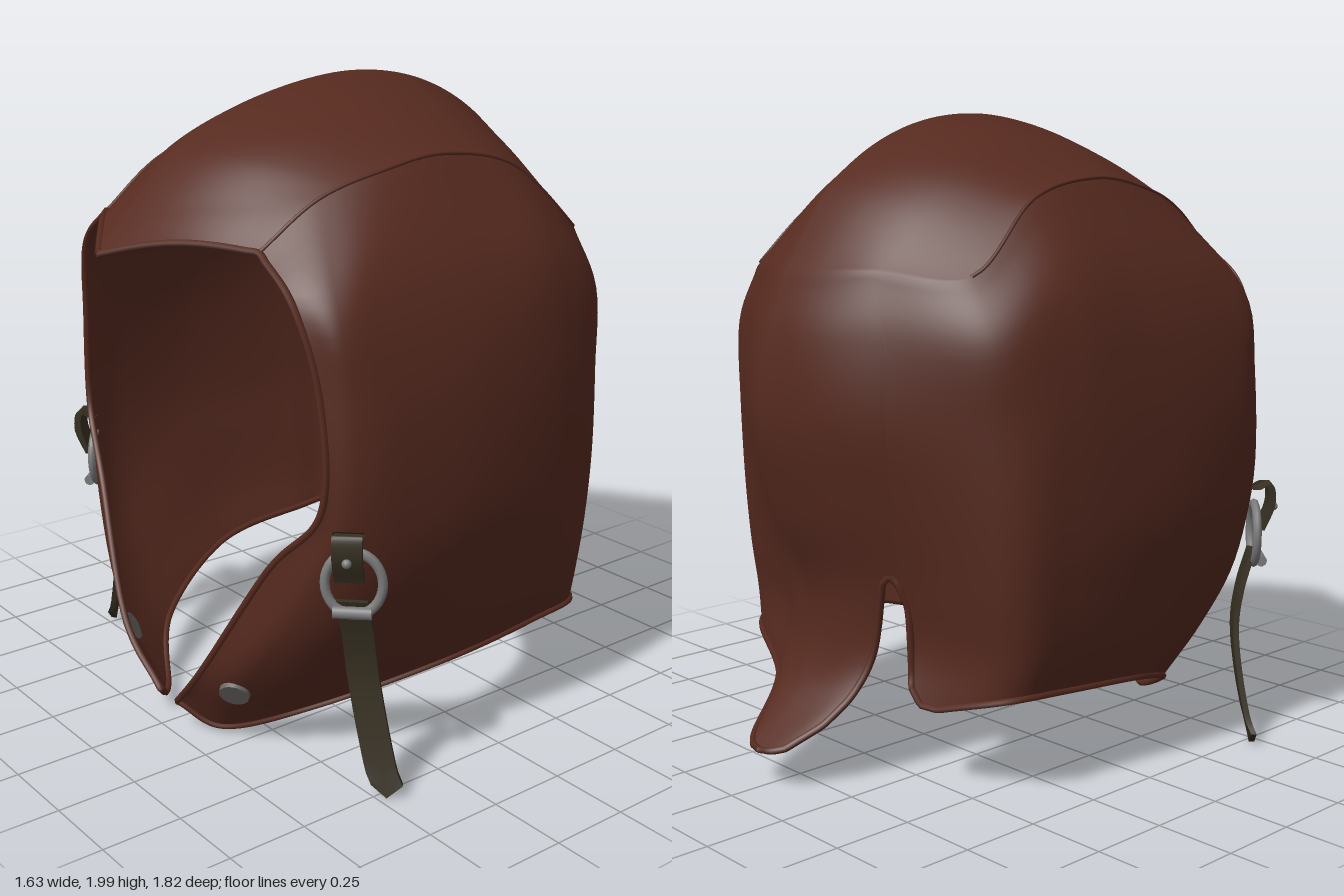
import * as THREE from 'three';
import { mergeGeometries, mergeVertices } from 'three/addons/utils/BufferGeometryUtils.js';

const curve = (pts) => new THREE.CatmullRomCurve3(pts.map((p) => (p.isVector3 ? p : new THREE.Vector3(...p))), false, 'catmullrom');

// Guide curves of one half, each from the bottom edge up to the crown seam
const faceEdge = curve([[.05, .10, .72], [.23, .29, .735], [.47, .67, .66], [.64, .88, .60], [.635, 1.2, .60], [.56, 1.45, .63], [.41, 1.575, .635]]);
const cheek = curve([[.17, .03, .62], [.38, .30, .66], [.58, .58, .61], [.70, .85, .54], [.70, 1.2, .53], [.64, 1.45, .54], [.435, 1.705, .45]]);
const jaw = curve([[.42, .15, .45], [.55, .35, .47], [.68, .58, .44], [.745, .85, .39], [.735, 1.2, .39], [.65, 1.5, .37], [.47, 1.77, .25]]);
const ear = curve([[.61, .27, .10], [.68, .42, .10], [.73, .62, .10], [.765, .85, .10], [.75, 1.2, .07], [.67, 1.5, .02], [.48, 1.80, .02]]);
const behindEar = curve([[.63, .31, -.25], [.67, .44, -.26], [.70, .62, -.27], [.72, .85, -.28], [.715, 1.2, -.28], [.66, 1.5, -.27], [.49, 1.74, -.25]]);
const corner = curve([[.59, .315, -.46], [.61, .44, -.46], [.62, .62, -.48], [.63, .85, -.49], [.62, 1.1, -.50], [.60, 1.35, -.51], [.50, 1.53, -.50]]);
const nape = curve([[.28, .23, -.62], [.29, .42, -.57], [.30, .60, -.59], [.31, .85, -.65], [.32, 1.1, -.69], [.31, 1.35, -.68], [.26, 1.54, -.65]]);
const tail = curve([[.08, .14, -.86], [.10, .32, -.69], [.11, .57, -.665], [.11, .83, -.745], [.11, 1.1, -.805], [.11, 1.35, -.79], [.10, 1.535, -.73]]);
const backCentre = curve([[0, .125, -.90], [0, .32, -.73], [0, .56, -.70], [0, .82, -.79], [0, 1.1, -.86], [0, 1.35, -.84], [0, 1.53, -.775]]);
const guides = [faceEdge, cheek, jaw, ear, behindEar, corner, nape, tail, backCentre];
const ridge = curve([[0, 1.54, .90], [0, 1.63, .82], [0, 1.82, .63], [0, 1.94, .36], [0, 2, 0], [0, 1.95, -.32], [0, 1.79, -.59], [0, 1.53, -.775]]);

// Side panel: u = 0 at the face to 8 at the back, v = 0 bottom to 1 seam
const side = (u, v) => curve(guides.map((g) => g.getPoint(v))).getPoint(u / 8);

// Crown panel: u = 0 at the brow to 5 at the back, w = 0 seam to 1 ridge
function crown(u, w) {
  const top = ridge.getPoint(u / 5), seam = side(u, 1);
  const p = seam.clone().lerp(top, w);
  const arch = Math.sin(Math.PI * w);
  p.y += arch * (.012 + .018 * (1 - u / 5) ** 6);
  const back = side(5 + 3 * w, 1).sub(side(5, 1).lerp(ridge.getPoint(1), w));
  back.y -= arch * .012;
  return p.addScaledVector(back, (u / 5) ** 4);
}

// Slit in the neck flap, on one side only: [u, v where the leather starts]
const slit = [[5.6, 0], [5.75, .02], [5.87, .07], [5.92, .13], [5.96, .29], [6.02, .35], [6.13, .375], [6.26, .355], [6.36, .28], [6.43, .18], [6.53, .09], [6.68, .035], [7.0, 0]];
function slitStart(u) {
  for (let i = 1; i < slit.length; i++) {
    const [a, va] = slit[i - 1], [b, vb] = slit[i];
    if (u >= a && u <= b) return va + (vb - va) * (u - a) / (b - a);
  }
  return 0;
}

// Grid of quads over a surface function, mirrored when m is -1
function sheet(fn, uMax, nu, nv, m) {
  const pos = [], index = [];
  for (let i = 0; i <= nu; i++) {
    for (let j = 0; j <= nv; j++) {
      const p = fn(uMax * i / nu, j / nv);
      pos.push(p.x * m, p.y, p.z);
      if (i === nu || j === nv) continue;
      const a = i * (nv + 1) + j, b = a + nv + 1;
      if (m > 0) index.push(a, b, b + 1, a, b + 1, a + 1);
      else index.push(a, b + 1, b, a, a + 1, b + 1);
    }
  }
  const g = new THREE.BufferGeometry();
  g.setAttribute('position', new THREE.Float32BufferAttribute(pos, 3));
  g.setIndex(index);
  return g;
}

// Smooth normals, rounding the shading over the centre ridge
function softenRidge(g) {
  g.computeVertexNormals();
  const p = g.attributes.position, n = g.attributes.normal, v = new THREE.Vector3();
  for (let i = 0; i < p.count; i++) {
    v.fromBufferAttribute(n, i);
    v.x *= THREE.MathUtils.smoothstep(Math.abs(p.getX(i)), -.05, .35);
    if (Math.abs(p.getX(i)) < 1e-4) v.x = 0;
    v.normalize();
    n.setXYZ(i, v.x, v.y, v.z);
  }
}

// Flat strap bent along a curve, lying against the cheek
const ACROSS = new THREE.Vector3(1, 0, -1).normalize();
const OUT = new THREE.Vector3(1, 0, 1).normalize();
function strapGeometry(pts, width, thick, pointed) {
  const path = curve(pts);
  const g = new THREE.BoxGeometry(width, 1, thick, 2, 24, 1);
  const p = g.attributes.position;
  for (let i = 0; i < p.count; i++) {
    const t = .5 - p.getY(i);
    const x = p.getX(i);
    const q = path.getPoint(t).addScaledVector(ACROSS, x).addScaledVector(OUT, p.getZ(i));
    // the tip ends in a shallow point
    if (pointed && t > .9) q.y += Math.abs(x) * .9 * (t - .9) / .1;
    p.setXYZ(i, q.x, q.y, q.z);
  }
  g.computeVertexNormals();
  return g;
}

export function createModel() {
  const model = new THREE.Group();
  const mat = (name, color, extra = {}) => {
    const m = new THREE.MeshStandardMaterial({ color, ...extra });
    m.name = name;
    return m;
  };
  const leather = mat('brown leather', 0x562a1f, { side: THREE.DoubleSide });
  const strapLeather = mat('dark strap leather', 0x373022);
  const steel = mat('steel', 0x7c7c7c);
  const stud = mat('dark stud metal', 0x666361);
  const add = (parent, name, geometry, material) => {
    const mesh = new THREE.Mesh(geometry, material);
    mesh.name = name;
    parent.add(mesh);
    return mesh;
  };

  // Cap shell, welded so that the shading is smooth
  const panels = [];
  for (const m of [1, -1]) {
    const trimmed = (u, v) => {
      const v0 = m < 0 ? slitStart(u) : 0;
      return side(u, v0 + (1 - v0) * v);
    };
    panels.push(sheet(trimmed, 8, 192, 36, m), sheet(crown, 5, 120, 72, m));
  }
  const shell = mergeVertices(mergeGeometries(panels), 1e-4);
  softenRidge(shell);
  add(model, 'capShell', shell, leather);

  for (const m of [1, -1]) {
    const label = m > 0 ? 'left' : 'right';
    const flip = (p) => p.setX(p.x * m);

    // Rolled rim: bottom edge, face opening, brow
    const rim = [];
    for (let i = 192; i >= 0; i--) rim.push(flip(side(i / 24, m < 0 ? slitStart(i / 24) : 0)));
    for (let i = 1; i <= 30; i++) rim.push(flip(side(0, i / 30)));
    for (let i = 1; i <= 12; i++) rim.push(flip(crown(0, i / 12)));
    add(model, label + 'Rim', new THREE.TubeGeometry(curve(rim), 400, .011, 6), leather);

    // Raised crown seam
    const seam = [];
    for (let i = 0; i <= 30; i++) seam.push(flip(side(i / 6, 1)));
    add(model, label + 'CrownSeam', new THREE.TubeGeometry(curve(seam), 90, .006, 6), leather);

    // Cheek stud, facing along the surface normal
    const c = side(.88, .115);
    const n = side(.93, .115).sub(c).cross(side(.88, .155).sub(c)).normalize();
    const disc = add(model, label + 'CheekStud', new THREE.CylinderGeometry(.046, .048, .016, 20), stud);
    disc.position.copy(flip(c.clone().addScaledVector(n, .004)));
    disc.quaternion.setFromUnitVectors(new THREE.Vector3(0, 1, 0), flip(n));

    // Buckle and hanging strap
    const buckle = new THREE.Group();
    buckle.name = label + 'Buckle';
    buckle.scale.x = m;
    model.add(buckle);
    add(buckle, 'strapLoop', strapGeometry([[.70, .82, .55], [.73, .835, .58], [.735, .77, .585], [.715, .69, .56]], .085, .022, false), strapLeather);
    add(buckle, 'hangingStrap', strapGeometry([[.70, .62, .54], [.685, .5, .505], [.683, .37, .485], [.717, .2, .475], [.775, .01, .47]], .092, .018, true), strapLeather);
    const ring = add(buckle, 'ring', new THREE.TorusGeometry(.082, .014, 8, 32), steel);
    ring.position.set(.708, .675, .54);
    ring.scale.y = 1.15;
    ring.rotation.y = Math.PI / 4;
    const bar = add(buckle, 'crossBar', new THREE.CylinderGeometry(.018, .018, .11, 12), steel);
    bar.position.set(.72, .595, .555);
    bar.quaternion.setFromUnitVectors(new THREE.Vector3(0, 1, 0), ACROSS);
    const rivet = add(buckle, 'loopRivet', new THREE.SphereGeometry(.014, 12, 8), steel);
    rivet.position.set(.743, .76, .593);
  }
  return model;
}
